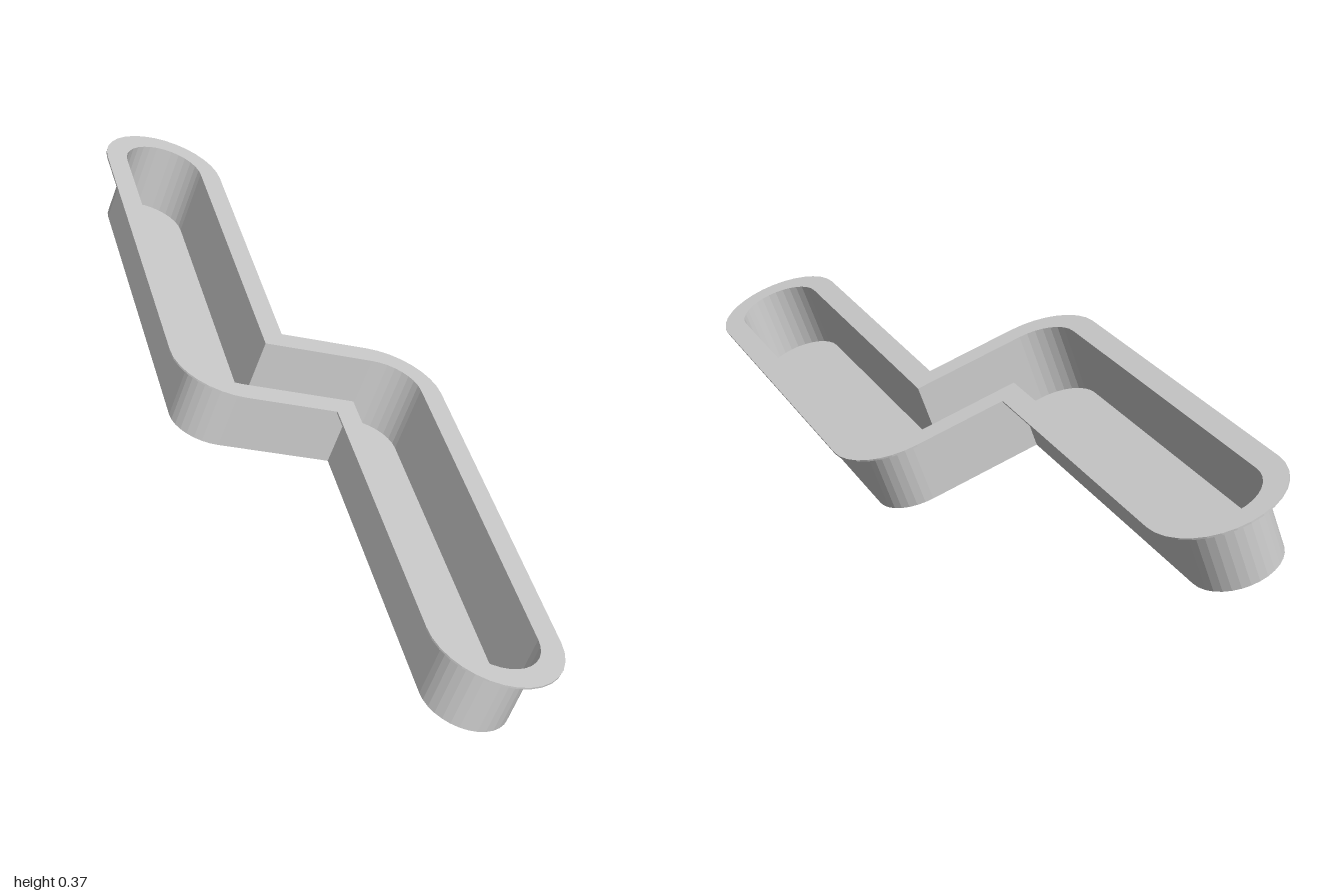
import * as THREE from 'three';

const TILT = THREE.MathUtils.degToRad(20);
const DEPTH = 0.168, RIM = 0.004; // tray depth, flange thickness
const ARM = 0.182;                // sideways offset of each arm's centre line

// Z-shaped outline; the second half is the first turned by 180 degrees.
// hu, hz: half widths of the arms and of the crossbar; end: reach of the arms
function outline(hu, hz, end) {
  const half = [new THREE.Vector2(ARM - hu, hz)];
  const arc = (cy, ry, from, to, n) => {
    for (let i = 0; i <= n; i++) {
      const a = from + (to - from) * i / n;
      half.push(new THREE.Vector2(ARM + hu * Math.cos(a), cy + ry * Math.sin(a)));
    }
  };
  arc(end - hu, hu, Math.PI, 0, 16);     // round arm end
  arc(0, hz, 0, -Math.PI / 2, 8);        // round outer corner of the bend
  return [...half, ...half.map(p => p.clone().negate())];
}

// Upright sheet wall that follows a closed outline
function wallGeometry(pts, top, bottom) {
  const pos = [];
  pts.forEach((a, i) => {
    const b = pts[(i + 1) % pts.length];
    pos.push(a.x, top, a.y, b.x, top, b.y, b.x, bottom, b.y);
    pos.push(a.x, top, a.y, b.x, bottom, b.y, a.x, bottom, a.y);
  });
  const g = new THREE.BufferGeometry();
  g.setAttribute('position', new THREE.Float32BufferAttribute(pos, 3));
  g.computeVertexNormals();
  return g;
}

export function createModel() {
  const group = new THREE.Group();
  const tray = new THREE.Group();
  tray.name = 'tray';
  const mat = new THREE.MeshStandardMaterial({ color: 0xcccccc, side: THREE.DoubleSide });
  const add = (name, geometry) => {
    const mesh = new THREE.Mesh(geometry, mat);
    mesh.name = name;
    tray.add(mesh);
  };

  const inner = outline(0.098, 0.0915, 0.948);
  const outer = outline(0.15, 0.143, 1);

  // flat flange around the opening
  const rim = new THREE.Shape(outer);
  rim.holes.push(new THREE.Path(inner));
  add('rim', new THREE.ExtrudeGeometry(rim, { depth: RIM, bevelEnabled: false }).rotateX(Math.PI / 2));

  // thin side wall and floor
  add('wall', wallGeometry(inner, -RIM, -DEPTH));
  add('floor', new THREE.ShapeGeometry(new THREE.Shape(inner)).rotateX(-Math.PI / 2)
    .scale(1, 1, -1).translate(0, -DEPTH, 0));
  const floor = tray.getObjectByName('floor').geometry;
  // the mirrored floor gets its winding turned so that it faces up
  floor.setIndex([...floor.index.array].reverse());
  floor.computeVertexNormals();

  tray.rotation.z = -TILT;
  tray.position.set(0.004, 0.2535, 0);
  group.add(tray);
  return group;
}
